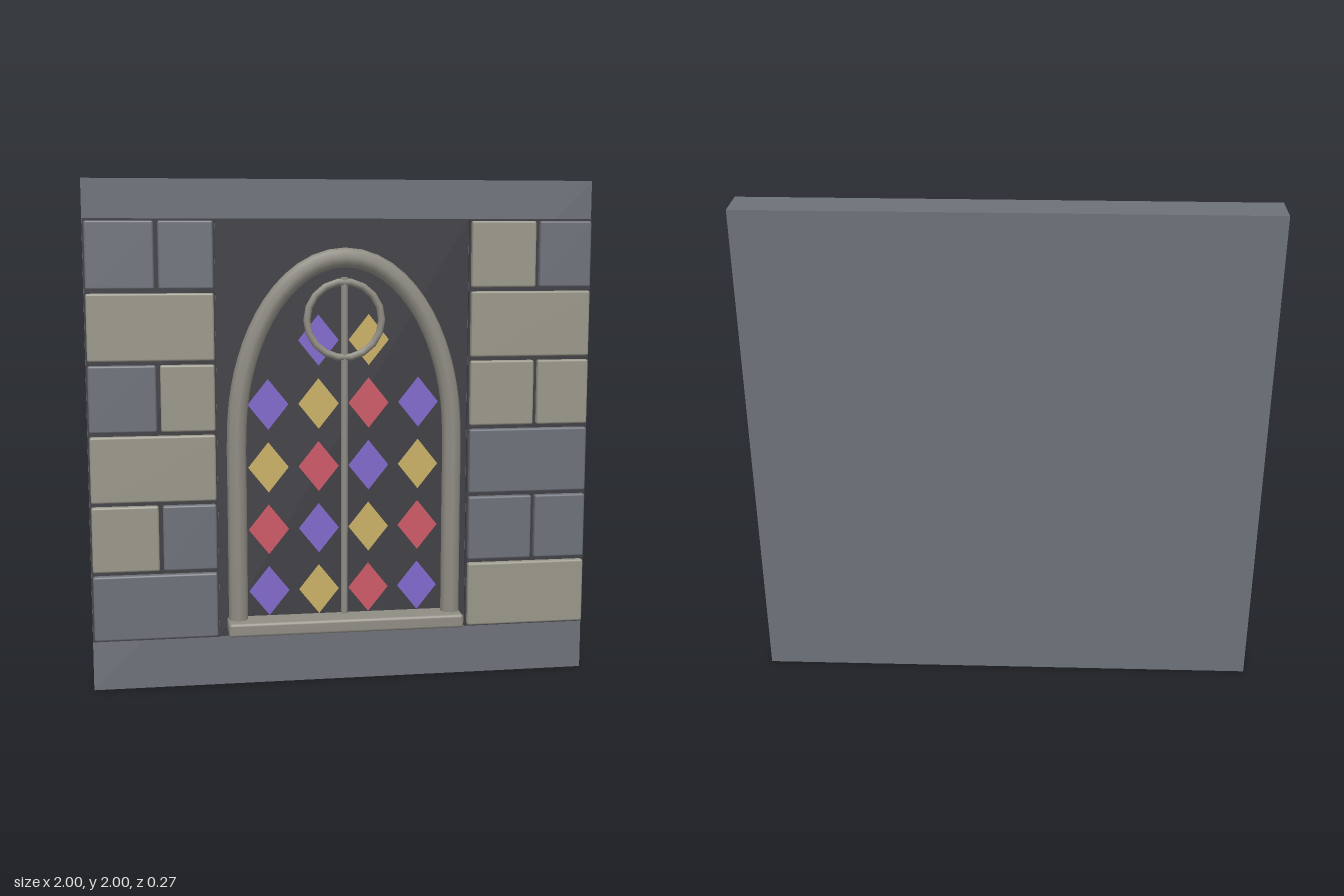
import * as THREE from 'three';
import { RoundedBoxGeometry } from 'three/addons/geometries/RoundedBoxGeometry.js';

const paint = (name, color) => {
  const m = new THREE.MeshStandardMaterial({ color });
  m.name = name;
  return m;
};

export function createModel() {
  const model = new THREE.Group();
  model.name = 'stoneWallWindow';

  const slate = paint('slate', 0x6c7078);
  const paleStone = paint('paleStone', 0x999689);
  const trim = paint('trimStone', 0x8f8c83);
  const dark = paint('darkMortar', 0x3e3e43);
  const purple = paint('purpleGlass', 0x8068cb);
  const yellow = paint('yellowGlass', 0xc9b065);
  const red = paint('redGlass', 0xcc5866);

  const add = (name, geometry, material, x, y, z, parent = model) => {
    const mesh = new THREE.Mesh(geometry, material);
    mesh.name = name;
    mesh.position.set(x, y, z);
    parent.add(mesh);
    return mesh;
  };

  // Wall slab and dark window backing
  const FRONT = 0.013;
  add('wallSlab', new THREE.BoxGeometry(2, 2, 0.15), slate, 0, 1, FRONT - 0.075);
  add('windowBacking', new THREE.BoxGeometry(1, 1.65, 0.004), dark, 0, 1.025, FRONT);

  // Brick columns: each row lists one full brick, or a wide and a narrow one
  const S = slate, P = paleStone;
  const columns = [
    { name: 'rightBricks', x0: -1, rows: [[S], [P, S], [P], [S, P], [P], [S, S]] },
    { name: 'leftBricks', x0: 0.5, rows: [[P], [S, S], [S], [P, P], [P], [P, S]] },
  ];
  const rowHeight = 0.275;
  for (const { name, x0, rows } of columns) {
    const group = new THREE.Group();
    group.name = name;
    model.add(group);
    add('mortar', new THREE.BoxGeometry(0.498, 1.65, 0.012), dark, x0 + 0.25, 1.025, FRONT + 0.006, group);
    rows.forEach((bricks, r) => {
      const widths = bricks.length === 1 ? [0.5] : [0.275, 0.225];
      let x = x0;
      bricks.forEach((material, i) => {
        const w = widths[i];
        add('brick', new RoundedBoxGeometry(w - 0.016, rowHeight - 0.016, 0.036, 2, 0.008), material,
          x + w / 2, 0.2 + rowHeight * (r + 0.5), FRONT + 0.018, group);
        x += w;
      });
    });
  }

  // Arched frame: straight legs joined by a half ellipse
  const points = [];
  for (const y of [0.26, 0.5, 0.75]) points.push(new THREE.Vector3(-0.428, y, 0.06));
  for (let i = 0; i <= 16; i++) {
    const a = Math.PI * (1 - i / 16);
    points.push(new THREE.Vector3(0.428 * Math.cos(a), 1 + 0.702 * Math.sin(a), 0.06));
  }
  for (const y of [0.75, 0.5, 0.26]) points.push(new THREE.Vector3(0.428, y, 0.06));
  add('archFrame', new THREE.TubeGeometry(new THREE.CatmullRomCurve3(points), 56, 0.038, 8), trim, 0, 0, 0);

  // Sill, centre bar and ring
  add('sill', new RoundedBoxGeometry(0.94, 0.055, 0.122, 2, 0.012), trim, 0, 0.253, 0.075);
  add('centreBar', new THREE.CylinderGeometry(0.014, 0.014, 1.36, 8), trim, 0, 0.945, 0.036);
  add('ring', new THREE.TorusGeometry(0.148, 0.014, 8, 18), trim, 0, 1.46, 0.038);

  // Coloured diamond panes, from the bottom row up
  const diamond = new THREE.Shape([[0, -0.1], [0.08, 0], [0, 0.1], [-0.08, 0]]
    .map(([x, y]) => new THREE.Vector2(x, y)));
  const pane = new THREE.ExtrudeGeometry(diamond, { depth: 0.008, bevelEnabled: false });
  const glass = [
    [purple, yellow, red, purple],
    [red, purple, yellow, red],
    [yellow, red, purple, yellow],
    [purple, yellow, red, purple],
    [null, purple, yellow, null],
  ];
  glass.forEach((row, r) => row.forEach((material, c) => {
    if (material) add('diamondPane', pane, material, -0.3 + 0.2 * c, 0.38 + 0.25 * r, FRONT + 0.001);
  }));

  return model;
}
